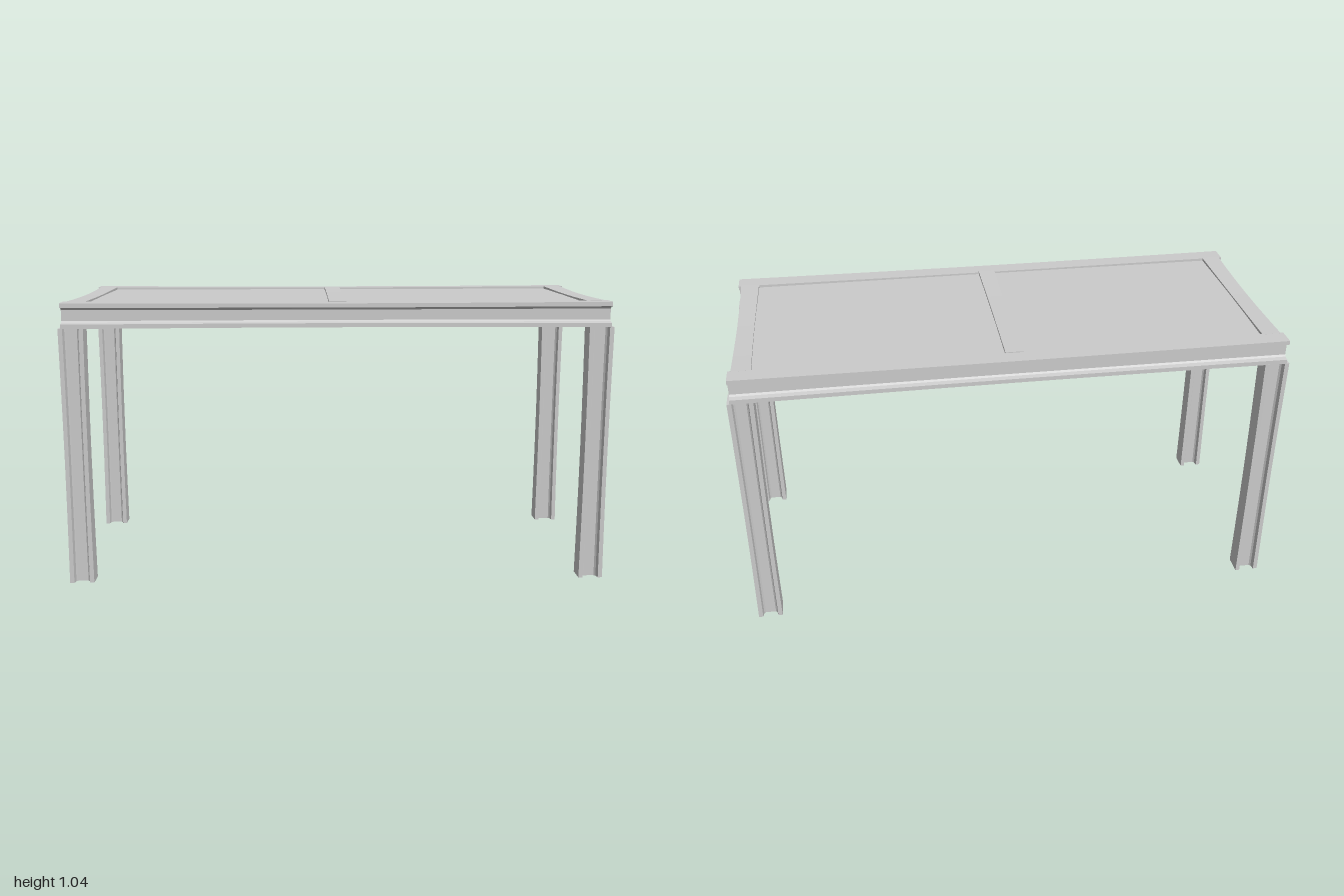
import * as THREE from 'three';

const material = new THREE.MeshStandardMaterial({ color: 0xcccccc, flatShading: true });

// I-shaped cross-section: w = flange width (x), h = depth of the section (y)
function iSection(w, h) {
  const a = w / 2, b = h / 2, web = 0.011, flange = 0.016, root = 0.026;
  const quarter = [[a, b], [a, b - flange], [web + 0.006, b - flange - 0.004], [web, b - root]];
  const flip = (p, sx, sy) => p.map(([x, y]) => new THREE.Vector2(x * sx, y * sy));
  return new THREE.Shape([
    ...flip(quarter, 1, 1),
    ...flip(quarter, 1, -1).reverse(),
    ...flip(quarter, -1, -1),
    ...flip(quarter, -1, 1).reverse(),
  ]);
}

// Beam along z, centred, slightly waisted towards the middle of its length
function beamGeometry(w, h, length, waistW, waistH, steps = 6) {
  const geometry = new THREE.ExtrudeGeometry(iSection(w, h), { depth: length, steps, bevelEnabled: false });
  geometry.translate(0, 0, -length / 2);
  const p = geometry.attributes.position;
  for (let i = 0; i < p.count; i++) {
    const bend = Math.cos((p.getZ(i) / length) * Math.PI);
    p.setX(i, p.getX(i) * (1 - waistW * bend));
    p.setY(i, p.getY(i) * (1 - waistH * bend));
  }
  geometry.computeVertexNormals();
  return geometry;
}

export function createModel() {
  const model = new THREE.Group();
  const add = (name, geometry, x, y, z) => {
    const mesh = new THREE.Mesh(geometry, material);
    mesh.name = name;
    mesh.position.set(x, y, z);
    model.add(mesh);
  };

  // Posts: flanges face the ends, webs run along x
  const post = beamGeometry(0.07, 0.09, 0.95, 0.04, 0.06);
  post.rotateX(-Math.PI / 2).rotateY(Math.PI / 2);
  for (const x of [-0.955, 0.955])
    for (const z of [-0.386, 0.386]) add('post', post, x, 0.475, z);

  // Long beams on top of the posts
  const longBeam = beamGeometry(0.069, 0.092, 1.98, 0.04, 0.07, 8);
  longBeam.rotateY(Math.PI / 2);
  for (const z of [-0.386, 0.386]) add('longBeam', longBeam, 0, 0.995, z);

  // Cross beams between them, at the ends and the middle
  const crossBeam = beamGeometry(0.069, 0.092, 0.712, 0.1, 0.1);
  for (const x of [-0.945, 0.945]) add('endBeam', crossBeam, x, 0.995, 0);
  add('middleBeam', beamGeometry(0.064, 0.092, 0.712, 0.06, 0.06), 0, 0.995, 0);

  // Sunken deck panels
  const panel = new THREE.BoxGeometry(0.902, 0.008, 0.724);
  for (const x of [-0.469, 0.469]) add('deckPanel', panel, x, 1.027, 0);

  return model;
}
